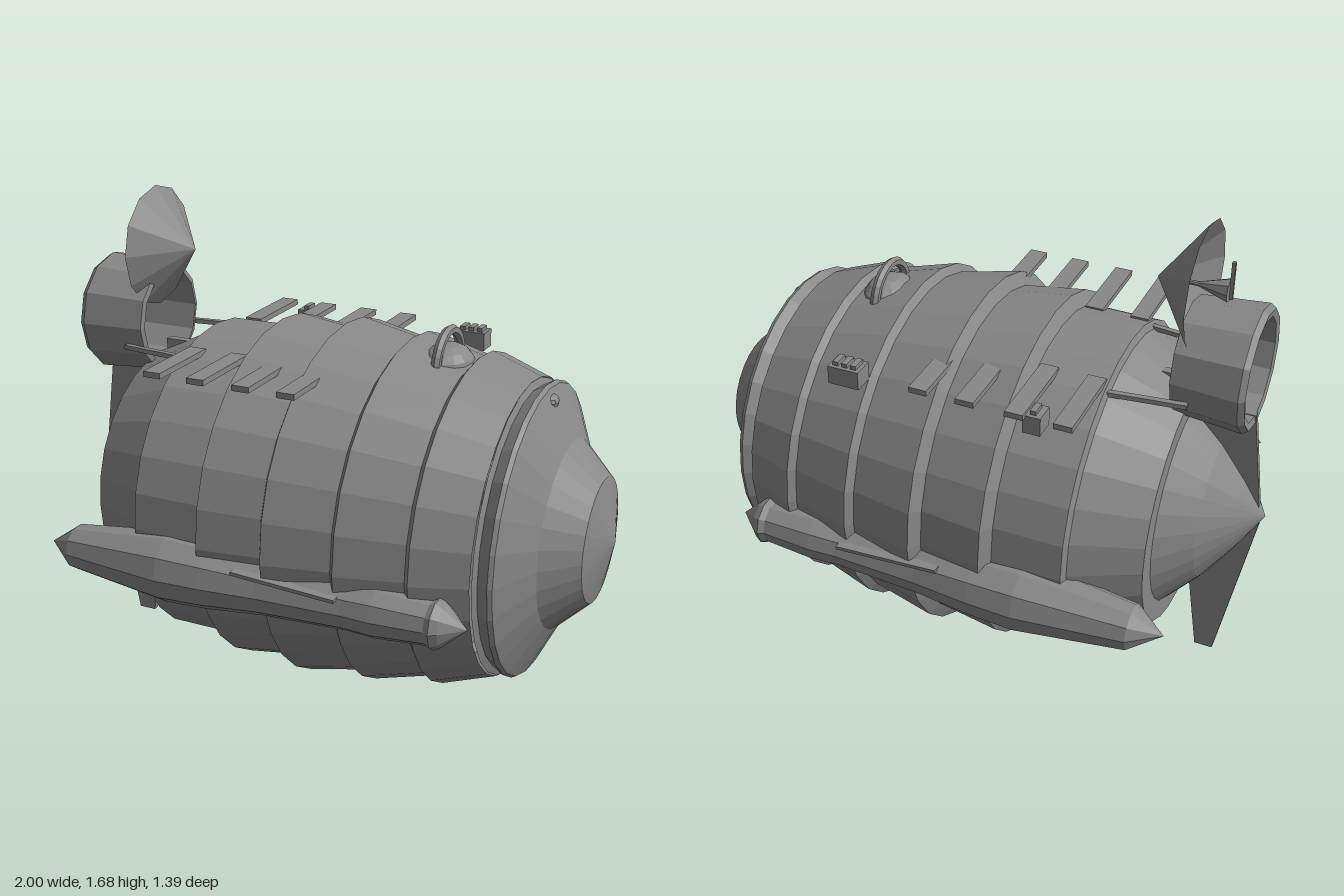
import * as THREE from 'three';

const hullGrey = new THREE.MeshStandardMaterial({ color: 0x888888, flatShading: true, side: THREE.DoubleSide });

export function createModel() {
  const model = new THREE.Group();
  model.name = 'barrelShip';

  const add = (name, geometry, x = 0, y = 0, z = 0, parent = model) => {
    const mesh = new THREE.Mesh(geometry, hullGrey);
    mesh.name = name;
    mesh.position.set(x, y, z);
    parent.add(mesh);
    return mesh;
  };
  const box = (name, w, h, d, x, y, z) => add(name, new THREE.BoxGeometry(w, h, d), x, y, z);
  // Turned part along the x axis from [x, radius] pairs
  const turned = (profile, sides) => new THREE.LatheGeometry(
    profile.map(([x, r]) => new THREE.Vector2(r, x)), sides).rotateZ(-Math.PI / 2);
  // Thin upright plate from [x, y] corners
  const plate = (corners, depth) => new THREE.ExtrudeGeometry(
    new THREE.Shape(corners.map(([x, y]) => new THREE.Vector2(x, y))),
    { depth, bevelEnabled: false }).translate(0, 0, -depth / 2);

  // Stepped barrel hull
  const hull = add('hull', turned([
    [-0.72, 0.34], [-0.72, 0.435], [-0.5, 0.54], [-0.49, 0.566], [-0.25, 0.568], [-0.225, 0.615],
    [-0.005, 0.585], [0.02, 0.63], [0.245, 0.583], [0.265, 0.61],
    [0.485, 0.55], [0.505, 0.573], [0.685, 0.51],
  ], 28), 0, 0.642);
  hull.scale.z = 1.035;
  add('tailCone', turned([[-1, 0], [-0.92, 0.13], [-0.83, 0.255], [-0.72, 0.37]], 28), 0, 0.642);
  add('noseCap', turned([
    [0.685, 0.51], [0.695, 0.485], [0.735, 0.508], [0.75, 0.5], [0.835, 0.325], [0.95, 0.215], [1, 0],
  ], 28), 0, 0.642);
  add('noseLamp', new THREE.SphereGeometry(0.035, 10, 6), 0.755, 1.1, 0).scale.set(0.8, 0.7, 1.1);

  // Side pods with thin rails
  for (const side of [1, -1]) {
    const name = side > 0 ? 'front' : 'rear';
    add(name + 'Pod', turned([
      [-0.84, 0], [-0.735, 0.078], [-0.36, 0.122], [-0.2, 0.115], [0, 0.095], [0.3, 0.083],
      [0.4, 0.088], [0.58, 0.075], [0.6, 0.085], [0.625, 0.07], [0.7, 0],
    ], 10), 0, 0.526, side * 0.572);
    const rail = box(name + 'PodRail', 0.37, 0.012, 0.05, 0.1, 0.585, side * 0.638);
    rail.rotation.z = -0.06;
  }

  // Tail fin and small keel plate
  add('tailFin', plate([[-0.93, 1.04], [-0.985, 0.62], [-0.87, 0], [-0.805, 0],
    [-0.745, 0.4], [-0.72, 1.04]], 0.02));
  add('keelPlate', plate([[-0.7, 0.155], [-0.61, 0.155], [-0.6, 0.3], [-0.6, 1.13], [-0.69, 1.13]], 0.03));

  // Open engine ring above the tail
  add('engineRing', turned([
    [-0.925, 0.175], [-0.93, 0.2], [-0.91, 0.213], [-0.685, 0.195], [-0.68, 0.175], [-0.925, 0.175],
  ], 12), 0, 1.21);

  // Dish opening backwards, with its feed
  add('dish', turned([[-0.72, 0.214], [-0.565, 0]], 12), 0, 1.468);
  add('dishFeed', turned([[-0.8, 0], [-0.8, 0.04], [-0.7, 0.008], [-0.6, 0.008]], 8), 0, 1.47);
  box('feedAerial', 0.012, 0.13, 0.012, -0.805, 1.505, 0);

  // Struts and deck slats on both sides
  for (const side of [1, -1]) {
    const strut = box('engineStrut', 0.27, 0.016, 0.02, -0.615, 1.14, side * 0.208);
    strut.rotation.y = -side * 0.12;
    for (const x of [-0.45, -0.287, -0.12, 0.042]) {
      box('deckSlat', 0.063, 0.02, 0.3, x, 1.168, side * 0.35);
    }
  }

  // Equipment boxes with raised ribs
  for (const [x, w, ribs] of [[-0.34, 0.06, 1], [0.32, 0.11, 3]]) {
    box('equipmentBox', w, 0.065, 0.075, x, 1.135, -0.445);
    for (let i = 0; i < ribs; i++) {
      box('equipmentRib', 0.02, 0.02, 0.05, x + (i - (ribs - 1) / 2) * 0.032, 1.172, -0.445);
    }
  }

  // Roof hatch: hoop with a low dome
  add('hatchHoop', new THREE.TorusGeometry(0.115, 0.017, 6, 14, Math.PI).rotateY(Math.PI / 2), 0.395, 1.178, 0);
  add('hatchDome', new THREE.SphereGeometry(0.1, 14, 8), 0.395, 1.175, 0).scale.set(0.9, 0.75, 1.1);

  return model;
}
